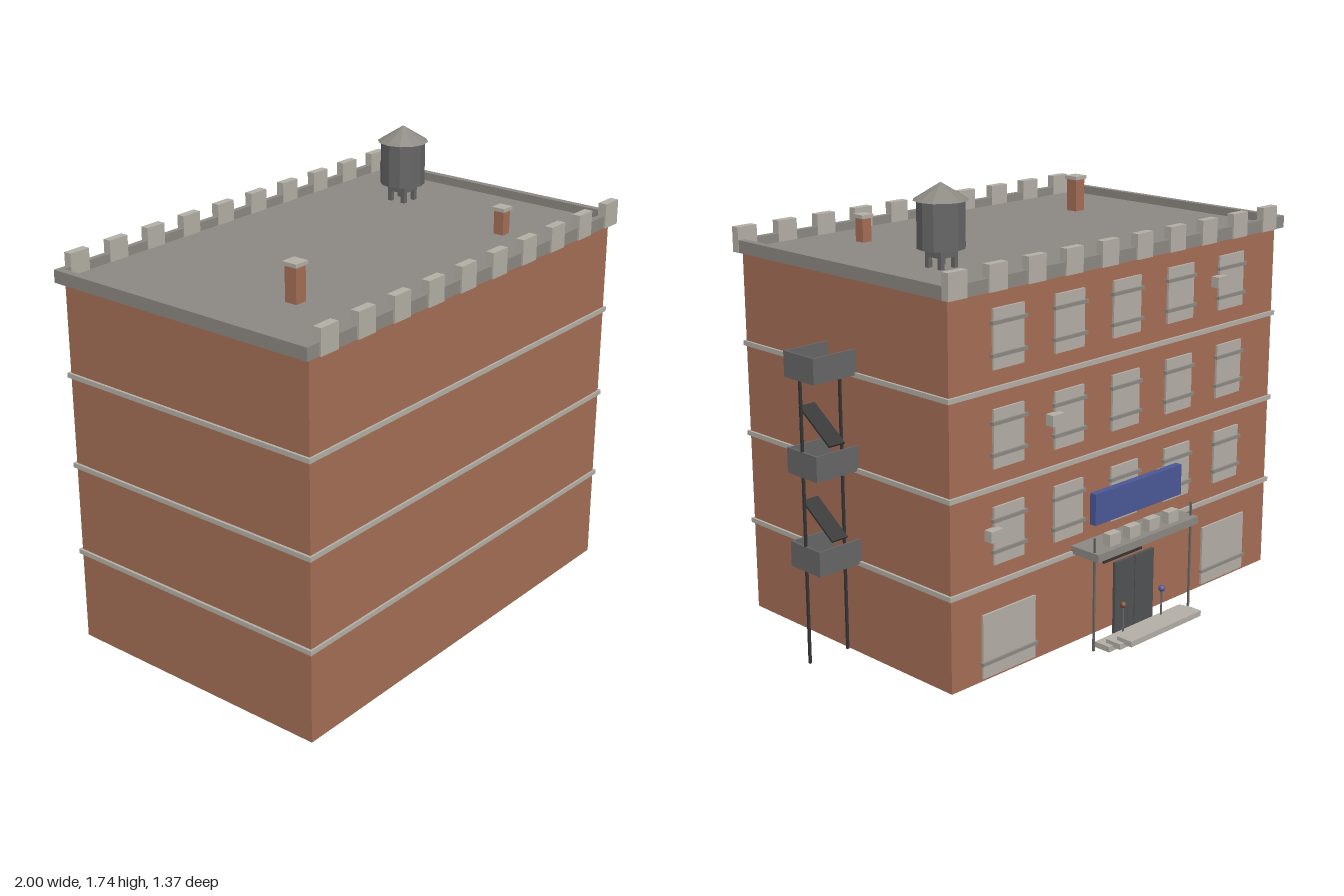
import * as THREE from 'three';

export function createModel() {
  const model = new THREE.Group();
  const mat = (name, color) => {
    const m = new THREE.MeshStandardMaterial({ color });
    m.name = name;
    return m;
  };
  const brick = mat('brick', 0xa56e56);
  const stone = mat('pale stone', 0xb3afa6);
  const concrete = mat('concrete', 0x8c8882);
  const iron = mat('iron grey', 0x666666);
  const dark = mat('dark metal', 0x353535);
  const doorGrey = mat('door grey', 0x505254);
  const blue = mat('sign blue', 0x4a5796);
  const brown = mat('brown', 0x7a4e36);

  const add = (name, geo, material, x, y, z, parent = model) => {
    const mesh = new THREE.Mesh(geo, material);
    mesh.name = name;
    mesh.position.set(x, y, z);
    parent.add(mesh);
    return mesh;
  };
  // Box given by its low and high limits on each axis
  const box = (name, material, [x0, x1], [y0, y1], [z0, z1], parent) =>
    add(name, new THREE.BoxGeometry(x1 - x0, y1 - y0, z1 - z0), material,
      (x0 + x1) / 2, (y0 + y1) / 2, (z0 + z1) / 2, parent);
  const around = (c, w) => [c - w / 2, c + w / 2];
  // Low-poly round part with hard facets
  const round = (name, material, rTop, rBottom, y0, y1, x, z, sides = 12, parent) => {
    const geo = new THREE.CylinderGeometry(rTop, rBottom, y1 - y0, sides).toNonIndexed();
    geo.computeVertexNormals();
    return add(name, geo, material, x, (y0 + y1) / 2, z, parent);
  };
  const group = (name) => {
    const g = new THREE.Group();
    g.name = name;
    model.add(g);
    return g;
  };

  const MID = -0.085, BACK = -0.453;

  // Main block and the stone bands between floors
  box('walls', brick, [-0.975, 0.805], [0, 1.42], [BACK, 0.66]);
  const floors = [0.36, 0.715, 1.07];
  for (const y of floors) {
    box('floorBand', stone, [-0.985, 0.815], [y - 0.008, y + 0.01], [BACK - 0.01, 0.668]);
  }

  // Roof deck, rim and battlements
  box('roofDeck', concrete, [-0.975, 0.805], [1.418, 1.435], [-0.46, 0.65]);
  const rim = group('roofRim');
  box('rimFront', concrete, [-1, 0.83], [1.42, 1.468], [0.65, 0.675], rim);
  box('rimBack', concrete, [-1, 0.83], [1.42, 1.468], [-0.48, -0.458], rim);
  box('rimRight', concrete, [-1, -0.972], [1.42, 1.468], [-0.458, 0.65], rim);
  box('rimLeft', concrete, [0.802, 0.83], [1.42, 1.468], [-0.458, 0.65], rim);
  const battlements = group('battlements');
  for (let i = 0; i < 10; i++) {
    const x = around(-0.898 + i * 0.1874, 0.087);
    box('merlonFront', stone, x, [1.42, 1.516], [0.648, 0.682], battlements);
    box('merlonBack', stone, x, [1.42, 1.516], [-0.487, -0.455], battlements);
  }

  // Chimneys with caps
  for (const [x, z, w, top] of [[-0.643, 0.32, 0.05, 1.58], [0.41, 0.433, 0.042, 1.54]]) {
    box('chimney', brick, around(x, w), [1.435, top - 0.012], around(z, w));
    box('chimneyCap', stone, around(x, w + 0.013), [top - 0.014, top], around(z, w + 0.013));
  }

  // Water tank on short legs
  const tank = group('waterTank');
  const TX = 0.523, TZ = -0.122;
  round('tankBarrel', iron, 0.088, 0.088, 1.505, 1.675, TX, TZ, 12, tank);
  round('tankRoof', concrete, 0, 0.1, 1.675, 1.737, TX, TZ, 12, tank);
  for (const sx of [-1, 1]) for (const sz of [-1, 1]) {
    box('tankLeg', iron, around(TX + sx * 0.032, 0.018), [1.435, 1.505], around(TZ + sz * 0.032, 0.018), tank);
  }
  box('tankBeam', iron, around(TX, 0.082), [1.475, 1.505], around(TZ, 0.082), tank);

  // Fire escape: open-topped balconies, slanted stairs, two posts
  const escape = group('fireEscape');
  for (const y of floors) {
    const h = [y, y + 0.095];
    box('balconyFloor', iron, [0.805, 0.995], [y, y + 0.012], [0.022, 0.182], escape);
    box('balconyRailFront', iron, [0.805, 0.997], h, [0.176, 0.184], escape);
    box('balconyRailBack', iron, [0.805, 0.997], h, [0.02, 0.028], escape);
    box('balconyRailOuter', iron, [0.989, 0.997], h, [0.028, 0.176], escape);
  }
  for (const y of [0.535, 0.89]) {
    const stair = add('stairFlight', new THREE.BoxGeometry(0.07, 0.008, 0.2), dark, 0.902, y, 0.103, escape);
    stair.rotation.x = -Math.atan2(0.115, 0.165);
  }
  for (const x of [0.815, 0.992]) {
    box('escapePost', dark, around(x, 0.009), [0, 1.08], around(0.103, 0.009), escape);
  }

  // Upper windows on the back wall: pane with two ledges
  const windows = group('backWindows');
  const column = (i) => MID + (i - 2) * 0.306;
  for (const y of floors) for (let i = 0; i < 5; i++) {
    const x = column(i);
    box('windowPane', stone, around(x, 0.15), [y + 0.07, y + 0.285], [BACK - 0.009, BACK], windows);
    box('windowLedge', concrete, around(x, 0.17), [y + 0.115, y + 0.128], [BACK - 0.017, BACK], windows);
    box('windowLintel', concrete, around(x, 0.17), [y + 0.23, y + 0.243], [BACK - 0.017, BACK], windows);
  }
  // Ground-floor windows
  for (const i of [0, 4]) {
    box('shopWindow', stone, around(column(i), 0.265), [0.012, 0.255], [BACK - 0.009, BACK], windows);
    box('shopLedge', concrete, around(column(i), 0.28), [0.064, 0.076], [BACK - 0.017, BACK], windows);
  }
  // Air conditioners at [column, floor]
  for (const [i, f] of [[4, 0], [1, 0], [3, 1], [0, 2]]) {
    const y = floors[f] + 0.19;
    box('airConditioner', stone, around(column(i) + 0.085, 0.06), around(y, 0.042), [BACK - 0.036, BACK], windows);
  }

  // Entrance: canopy, posts, roof blocks, sign, doors
  const entrance = group('entrance');
  box('canopy', concrete, [-0.372, 0.2], [0.36, 0.39], [-0.59, BACK], entrance);
  for (const x of [-0.36, 0.19]) {
    box('canopyPost', iron, around(x, 0.007), [0, 0.445], around(-0.562, 0.007), entrance);
  }
  for (let i = 0; i < 4; i++) {
    box('canopyBlock', stone, around(MID + (i - 1.5) * 0.111, 0.06), [0.39, 0.437], [-0.566, -0.532], entrance);
  }
  box('signBoard', blue, [-0.33, 0.157], [0.477, 0.598], [-0.535, -0.507], entrance);
  box('doorLintel', dark, around(MID, 0.22), [0.27, 0.305], [BACK - 0.008, BACK], entrance);
  for (const s of [-1, 1]) {
    box('doorLeaf', doorGrey, around(MID + s * 0.056, 0.108), [0, 0.29], [-0.52, -0.507], entrance);
    // Stanchion with a ball on top
    const x = MID + s * 0.111;
    round('stanchion', iron, 0.004, 0.004, 0, 0.13, x, -0.562, 6, entrance);
    add('stanchionBall', new THREE.SphereGeometry(0.013, 12, 8), s > 0 ? brown : blue, x, 0.135, -0.562, entrance);
  }

  // Steps
  for (let i = 0; i < 3; i++) {
    box('step', stone, around(MID, 0.49 - i * 0.043), [i * 0.015, i * 0.015 + 0.022],
      [-0.612 - i * 0.036, -0.542 - i * 0.036], entrance);
  }

  return model;
}
